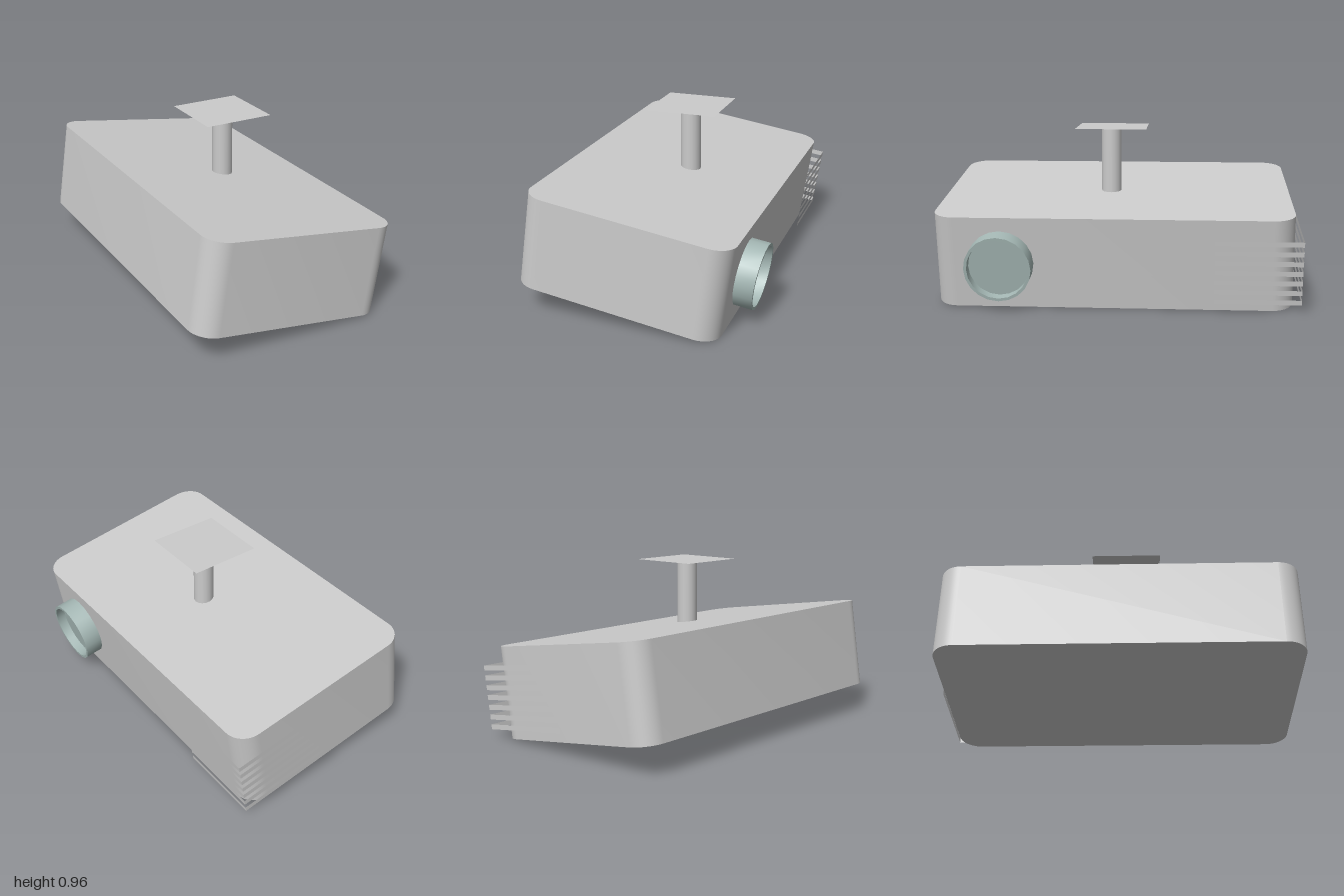
import * as THREE from 'three';
import { toCreasedNormals } from 'three/addons/utils/BufferGeometryUtils.js';

const TILT = -0.151;
const W = 1.133, H = 0.515, D = 1.965; // casing size

const grey = new THREE.MeshStandardMaterial({ color: 0xcccccc });
const greyThin = new THREE.MeshStandardMaterial({ color: 0xcccccc, side: THREE.DoubleSide });
const lensMat = new THREE.MeshStandardMaterial({ color: 0xa5b8b5 });

function add(parent, name, geometry, material, x = 0, y = 0, z = 0) {
  const mesh = new THREE.Mesh(geometry, material);
  mesh.name = name;
  mesh.position.set(x, y, z);
  parent.add(mesh);
  return mesh;
}

// Rectangle with rounded corners, centred on the origin
function roundedRect(w, h, r) {
  const s = new THREE.Shape();
  const x = w / 2 - r, y = h / 2 - r;
  s.absarc(x, y, r, 0, Math.PI / 2);
  s.absarc(-x, y, r, Math.PI / 2, Math.PI);
  s.absarc(-x, -y, r, Math.PI, Math.PI * 1.5);
  s.absarc(x, -y, r, Math.PI * 1.5, Math.PI * 2);
  s.closePath();
  return s;
}

export function createModel() {
  const model = new THREE.Group();
  model.name = 'ceilingProjector';

  // Tilted casing carrying the lens and the vents
  const projector = new THREE.Group();
  projector.name = 'projector';
  projector.position.set(-0.0475, 0.341, 0.0175);
  projector.rotation.z = TILT;
  model.add(projector);

  const casing = new THREE.ExtrudeGeometry(roundedRect(W, D, 0.12), {
    depth: H, bevelEnabled: false, curveSegments: 6,
  });
  casing.translate(0, 0, -H / 2).rotateX(-Math.PI / 2);
  add(projector, 'casing', toCreasedNormals(casing, 0.6), grey);

  // Lens barrel with a recessed glass disc
  const profile = [[0.182, -0.02], [0.182, 0.104], [0.166, 0.104], [0.166, 0.05], [0, 0.05]]
    .map(([r, y]) => new THREE.Vector2(r, y));
  const lens = new THREE.LatheGeometry(profile, 20).rotateZ(-Math.PI / 2);
  add(projector, 'lens', toCreasedNormals(lens, 0.6), lensMat, W / 2, 0, 0.6125);

  // Thin vent slats wrapping round the back corner
  const vents = new THREE.Group();
  vents.name = 'vents';
  projector.add(vents);
  const cornerX = W / 2 + 0.05, cornerZ = -1.0175;
  const sideLength = 0.47, backLength = 0.59, slatHeight = 0.028;
  for (let i = 0; i < 7; i++) {
    const y = 0.145 - i * 0.0552;
    const side = new THREE.PlaneGeometry(sideLength, slatHeight).rotateY(Math.PI / 2);
    add(vents, 'sideSlat', side, greyThin, cornerX, y, cornerZ + sideLength / 2);
    const back = new THREE.PlaneGeometry(backLength, slatHeight).rotateY(Math.PI);
    add(vents, 'backSlat', back, greyThin, cornerX - backLength / 2, y, cornerZ);
  }

  // Upright pole and flat ceiling plate
  const pole = new THREE.CylinderGeometry(0.0575, 0.0575, 0.4, 16, 1, true);
  add(model, 'pole', pole, greyThin, 0.0225, 0.76, 0.0575);
  const plate = new THREE.PlaneGeometry(0.4, 0.4).rotateX(-Math.PI / 2);
  add(model, 'ceilingPlate', plate, greyThin, 0.0225, 0.96, 0.05);

  return model;
}
